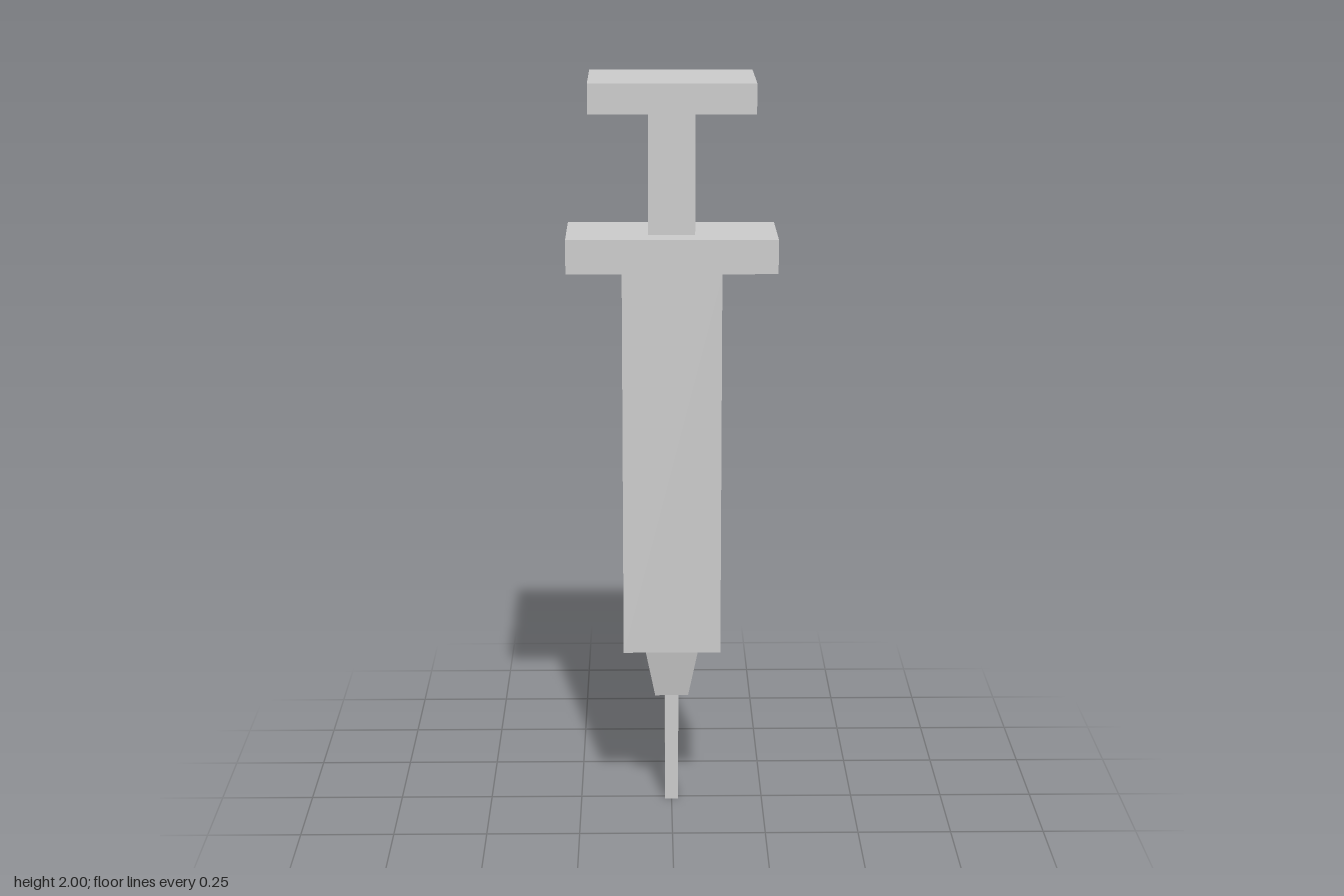
import * as THREE from 'three';

const material = new THREE.MeshStandardMaterial({ color: 0xcccccc, flatShading: true });

// Rectangular block spanning y0..y1
function block(name, width, depth, y0, y1) {
  const mesh = new THREE.Mesh(new THREE.BoxGeometry(width, y1 - y0, depth), material);
  mesh.name = name;
  mesh.position.y = (y0 + y1) / 2;
  return mesh;
}

// Square frustum spanning y0..y1, sides parallel to the axes
function taper(name, topWidth, bottomWidth, y0, y1) {
  const geometry = new THREE.CylinderGeometry(
    topWidth * Math.SQRT1_2, bottomWidth * Math.SQRT1_2, y1 - y0, 4);
  geometry.rotateY(Math.PI / 4);
  const mesh = new THREE.Mesh(geometry, material);
  mesh.name = name;
  mesh.position.y = (y0 + y1) / 2;
  return mesh;
}

export function createModel() {
  const group = new THREE.Group();
  group.name = 'syringe';
  group.add(
    block('needle', 0.037, 0.037, 0, 0.317),
    taper('needleHub', 0.149, 0.09, 0.317, 0.472),
    block('barrel', 0.26, 0.26, 0.472, 1.507),
    block('fingerFlange', 0.55, 0.26, 1.507, 1.597),
    block('plungerRod', 0.122, 0.122, 1.597, 1.922),
    block('thumbRest', 0.43, 0.295, 1.922, 2),
  );
  return group;
}
